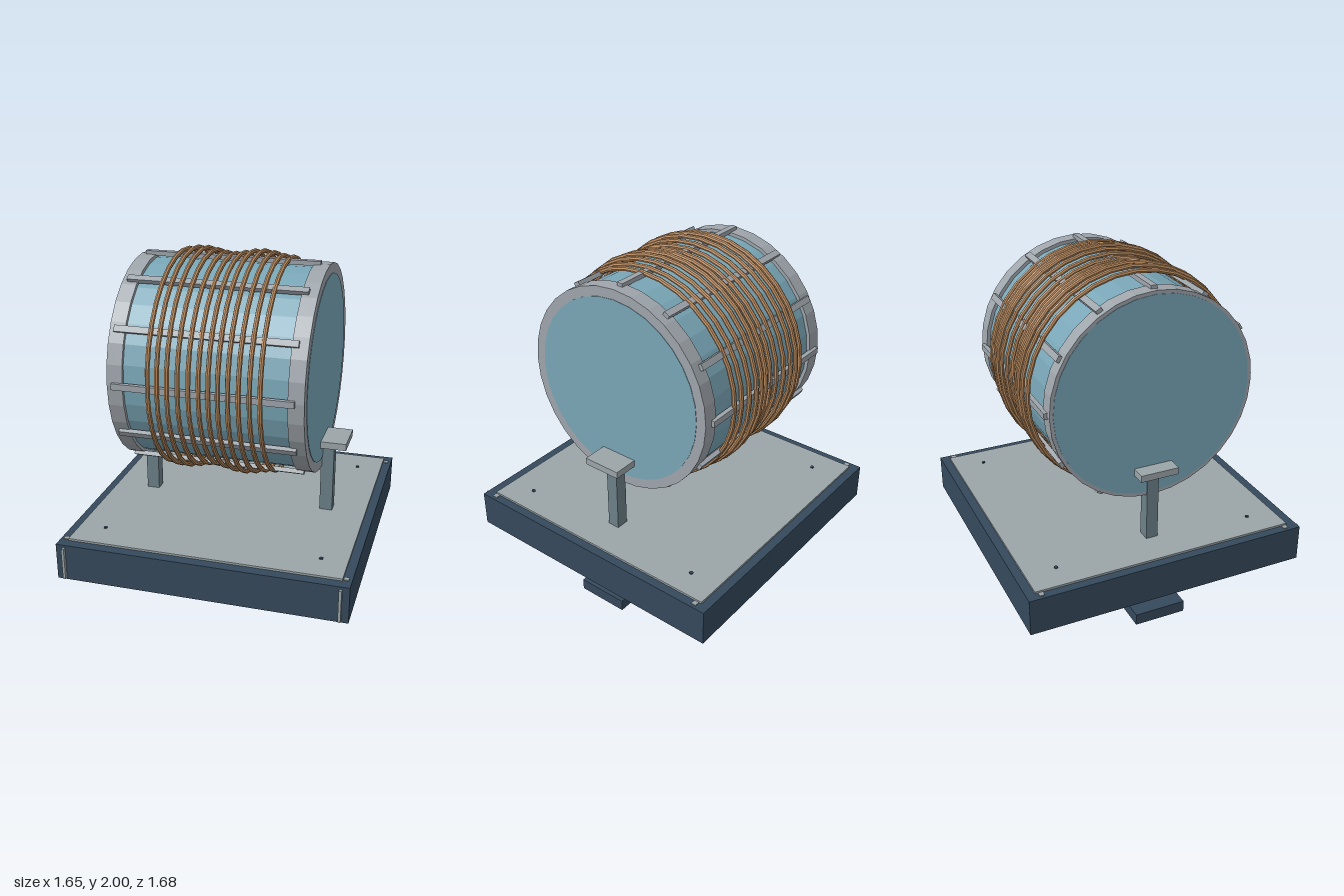
import * as THREE from 'three';

const mat = (name, color, flat = false) => {
  const m = new THREE.MeshStandardMaterial({ color, flatShading: flat });
  m.name = name;
  return m;
};

export function createModel() {
  const model = new THREE.Group();
  model.name = 'drumOnStand';

  const navy = mat('navy', 0x35495c);
  const plateGrey = mat('plateGrey', 0x9ba5a9);
  const steel = mat('steel', 0x9ea5ab, true);
  const postGrey = mat('postGrey', 0x6c8088);
  const blue = mat('drumBlue', 0x79a6b7, true);
  const rope = mat('ropeBrown', 0xba8b5e, true);

  const Z = -0.01; // common centre line in z
  const add = (parent, name, geo, material, x, y, z) => {
    const mesh = new THREE.Mesh(geo, material);
    mesh.name = name;
    mesh.position.set(x, y, z);
    parent.add(mesh);
    return mesh;
  };
  const box = (parent, name, material, [w, h, d], [x, y, z]) =>
    add(parent, name, new THREE.BoxGeometry(w, h, d), material, x, y, z);

  // Base slab with inset top plate
  const base = new THREE.Group();
  base.name = 'base';
  model.add(base);
  box(base, 'slab', navy, [1.655, 0.215, 1.66], [-0.003, 0.3625, Z]);
  box(base, 'topPlate', plateGrey, [1.555, 0.02, 1.55], [-0.003, 0.472, Z - 0.004]);
  for (const sx of [-1, 1]) {
    box(base, 'frontStrip', plateGrey, [0.015, 0.19, 0.02], [sx * 0.78 - 0.003, 0.36, 0.83]);
    for (const sz of [-1, 1]) {
      box(base, 'cornerPin', plateGrey, [0.028, 0.02, 0.028], [sx * 0.795 - 0.003, 0.465, Z + sz * 0.75]);
      add(base, 'bolt', new THREE.CylinderGeometry(0.011, 0.011, 0.02, 10), navy,
        sx * 0.627, 0.478, Z + sz * 0.6);
    }
  }

  // Two supports: foot, post and bearing cap
  for (const sx of [-1, 1]) {
    const support = new THREE.Group();
    support.name = sx > 0 ? 'leftSupport' : 'rightSupport';
    support.position.set(sx * 0.543 - 0.003, 0, Z);
    model.add(support);
    box(support, 'foot', navy, [0.322, 0.068, 0.305], [0, 0.036, 0]);
    box(support, 'post', postGrey, [0.075, 0.92, 0.07], [0, 0.46, 0]);
    box(support, 'cap', plateGrey, [0.236, 0.04, 0.226], [0, 0.93, 0]);
  }

  // Drum lying along x
  const drum = new THREE.Group();
  drum.name = 'drum';
  drum.position.set(-0.033, 1.355, Z);
  model.add(drum);
  const disc = (name, r, length, material, x) => {
    const geo = new THREE.CylinderGeometry(r, r, length, 32);
    geo.rotateZ(Math.PI / 2);
    return add(drum, name, geo, material, x, 0, 0);
  };
  disc('barrel', 0.572, 0.95, blue, 0);
  for (const sx of [-1, 1]) disc('endFlange', 0.592, 0.088, steel, sx * 0.498);
  disc('leftHead', 0.535, 0.008, blue, 0.5405);
  disc('rightHead', 0.572, 0.008, blue, -0.5405);

  // Tie bars spaced around the drum
  for (let i = 0; i < 12; i++) {
    const a = (i / 12) * Math.PI * 2;
    const bar = box(drum, 'tieBar', steel, [1.005, 0.026, 0.036],
      [-0.01, Math.cos(a) * 0.597, Math.sin(a) * 0.597]);
    bar.rotation.x = a;
  }

  // Rope turns with slightly varying radius
  for (let i = 0; i < 12; i++) {
    const geo = new THREE.TorusGeometry(0.619 + 0.0125 * Math.sin(i), 0.0135, 8, 32);
    geo.rotateY(Math.PI / 2);
    add(drum, 'ropeTurn', geo, rope, -0.3 + i * 0.0556, 0, 0);
  }

  return model;
}
